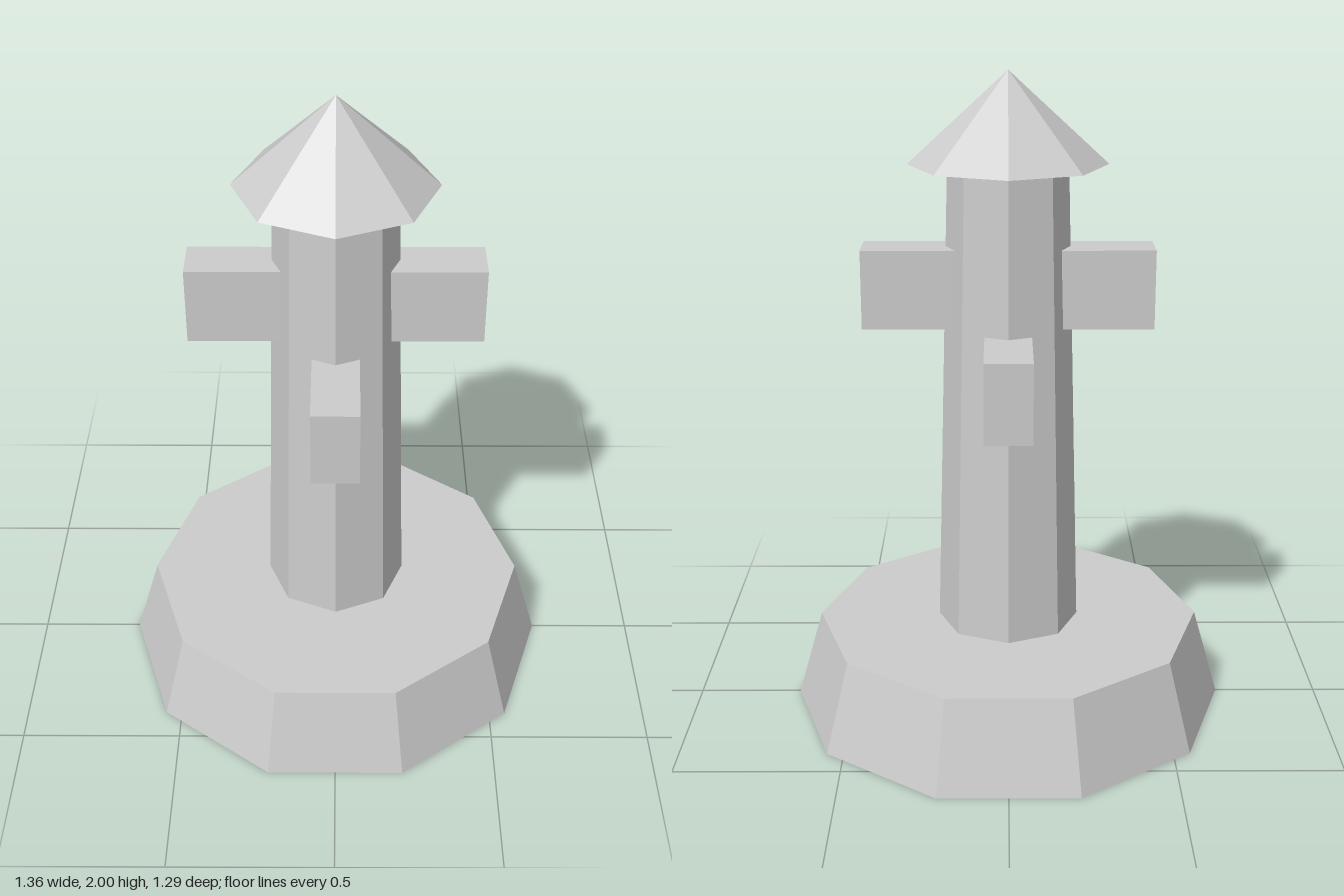
import * as THREE from 'three';

export function createModel() {
  const group = new THREE.Group();
  const stone = new THREE.MeshStandardMaterial({ color: 0xcccccc, flatShading: true, side: THREE.DoubleSide });
  stone.name = 'grey stone';

  const add = (name, geometry, y) => {
    const mesh = new THREE.Mesh(geometry, stone);
    mesh.name = name;
    mesh.position.y = y;
    group.add(mesh);
    return mesh;
  };

  // Ten-sided tapered base: a hollow wall closed by a top slab
  const baseHeight = 0.28;
  add('baseWall', new THREE.CylinderGeometry(0.6, 0.68, baseHeight, 10, 1, true).rotateY(Math.PI / 10), baseHeight / 2);
  add('baseTop', new THREE.CircleGeometry(0.6, 10).rotateX(-Math.PI / 2), baseHeight);

  // Eight-sided tapered column, open under the roof
  const roofY = 1.727;
  const columnHeight = roofY - baseHeight;
  add('column', new THREE.CylinderGeometry(0.18, 0.22, columnHeight, 8, 1, true), baseHeight + columnHeight / 2);

  // Pointed roof, open underneath
  const roofHeight = 2 - roofY;
  add('roof', new THREE.ConeGeometry(0.298, roofHeight, 8, 1, true), roofY + roofHeight / 2);

  // Two crossing beams that stick out on all four sides
  add('upperBeam', new THREE.BoxGeometry(0.876, 0.24, 0.14), 1.362);
  add('lowerBeam', new THREE.BoxGeometry(0.14, 0.24, 0.876), 1.123);

  return group;
}
